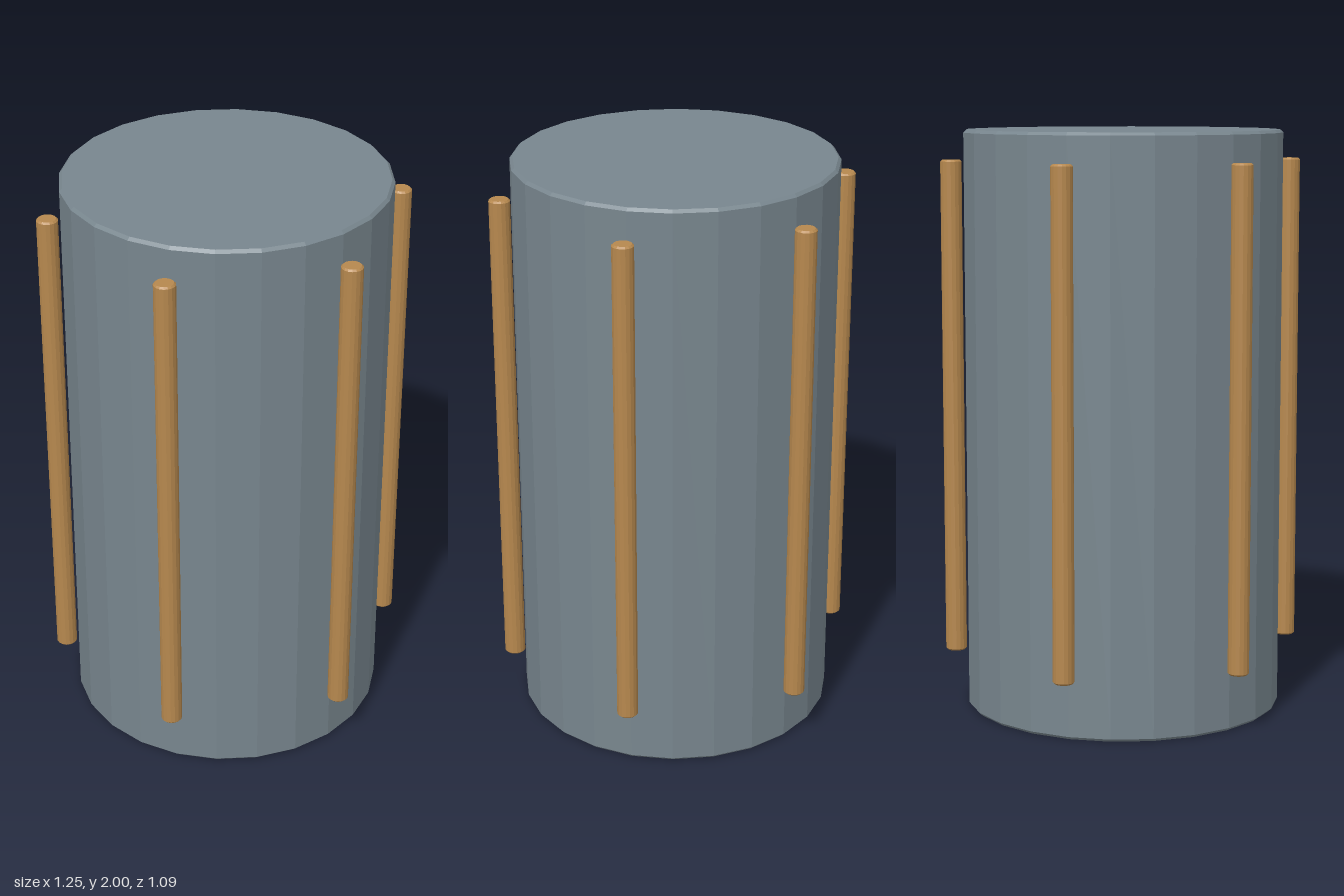
import * as THREE from 'three';

// Solid cylinder with small bevelled rims, from y0 to y1
function bevelledCylinder(radius, y0, y1, bevel, sides) {
  const profile = [
    [0, y0], [radius - bevel, y0], [radius, y0 + bevel],
    [radius, y1 - bevel], [radius - bevel, y1], [0, y1],
  ].map(([x, y]) => new THREE.Vector2(x, y));
  return new THREE.LatheGeometry(profile, sides);
}

export function createModel() {
  const model = new THREE.Group();
  const steel = new THREE.MeshStandardMaterial({ color: 0x78868e, flatShading: true });
  steel.name = 'grey steel';
  const brass = new THREE.MeshStandardMaterial({ color: 0xb6884e, flatShading: true });
  brass.name = 'brass';

  // Main drum
  const drum = new THREE.Mesh(bevelledCylinder(0.547, 0, 2, 0.01, 24), steel);
  drum.name = 'drum';
  model.add(drum);

  // Six upright rods spaced evenly around the drum
  const rodGeometry = bevelledCylinder(0.036, 0.205, 1.9, 0.006, 16);
  const rods = new THREE.Group();
  rods.name = 'rods';
  for (let i = 0; i < 6; i++) {
    const angle = (i * Math.PI) / 3;
    const rod = new THREE.Mesh(rodGeometry, brass);
    rod.name = 'rod' + (i + 1);
    rod.position.set(Math.cos(angle) * 0.59, 0, Math.sin(angle) * 0.59);
    rods.add(rod);
  }
  model.add(rods);
  return model;
}
